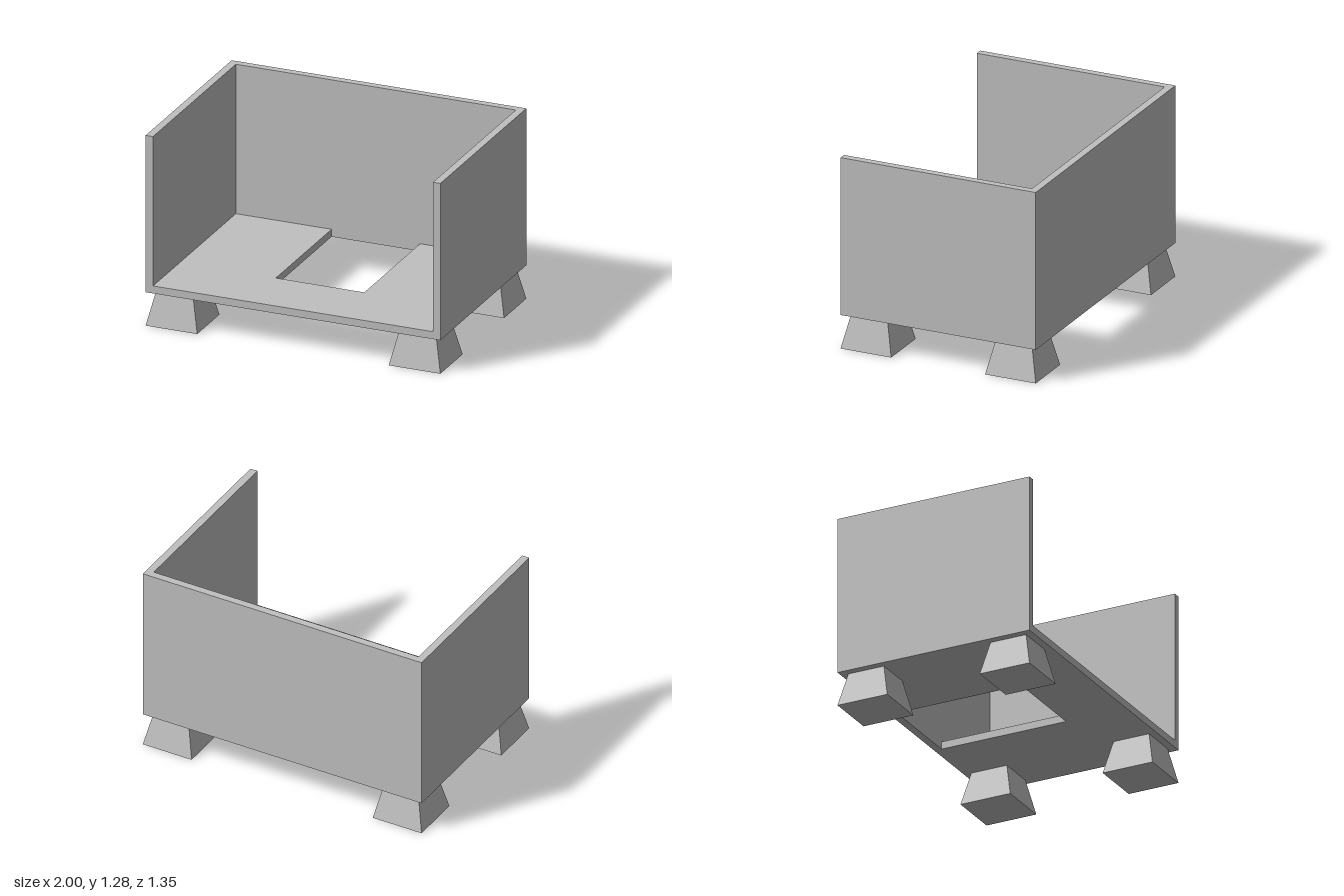
import * as THREE from 'three';

const W = 1, D = 0.675, T = 0.05;           // half width, half depth, board thickness
const FLOOR_Y = 0.225, TOP_Y = 1.28;

// Extrudes a plan outline of [x, z] points upward from y0 to y1
function slab(points, y0, y1) {
  const shape = new THREE.Shape(points.map(([x, z]) => new THREE.Vector2(x, -z)));
  const geometry = new THREE.ExtrudeGeometry(shape, { depth: y1 - y0, bevelEnabled: false });
  return geometry.rotateX(-Math.PI / 2).translate(0, y0, 0);
}

export function createModel() {
  const group = new THREE.Group();
  group.name = 'openBoxOnFeet';
  const grey = new THREE.MeshStandardMaterial({ color: 0xc0c0c0 });
  grey.name = 'grey';

  const add = (name, geometry) => {
    const mesh = new THREE.Mesh(geometry, grey);
    mesh.name = name;
    group.add(mesh);
    return mesh;
  };

  // Left, back and right walls as one U, open at the front
  add('walls', slab([
    [-W, D], [-W, -D], [W, -D], [W, D],
    [W - T, D], [W - T, T - D], [T - W, T - D], [T - W, D],
  ], FLOOR_Y, TOP_Y));

  // Floor between the walls, with a cutout reaching the back wall
  const hx = 0.3, hz = 0.25, fx = W - T, fz = T - D;
  add('floor', slab([
    [-fx, D], [-fx, fz], [-hx, fz], [-hx, hz],
    [hx, hz], [hx, fz], [fx, fz], [fx, D],
  ], FLOOR_Y, FLOOR_Y + T));

  // Four tapered square feet
  const footGeometry = new THREE.CylinderGeometry(
    0.125 * Math.SQRT2, 0.175 * Math.SQRT2, FLOOR_Y, 4).rotateY(Math.PI / 4).toNonIndexed();
  footGeometry.computeVertexNormals();
  for (const sx of [-1, 1]) {
    for (const sz of [-1, 1]) {
      const name = (sz > 0 ? 'front' : 'back') + (sx > 0 ? 'Left' : 'Right') + 'Foot';
      add(name, footGeometry).position.set(sx * 0.825, FLOOR_Y / 2, sz * 0.5);
    }
  }
  return group;
}
